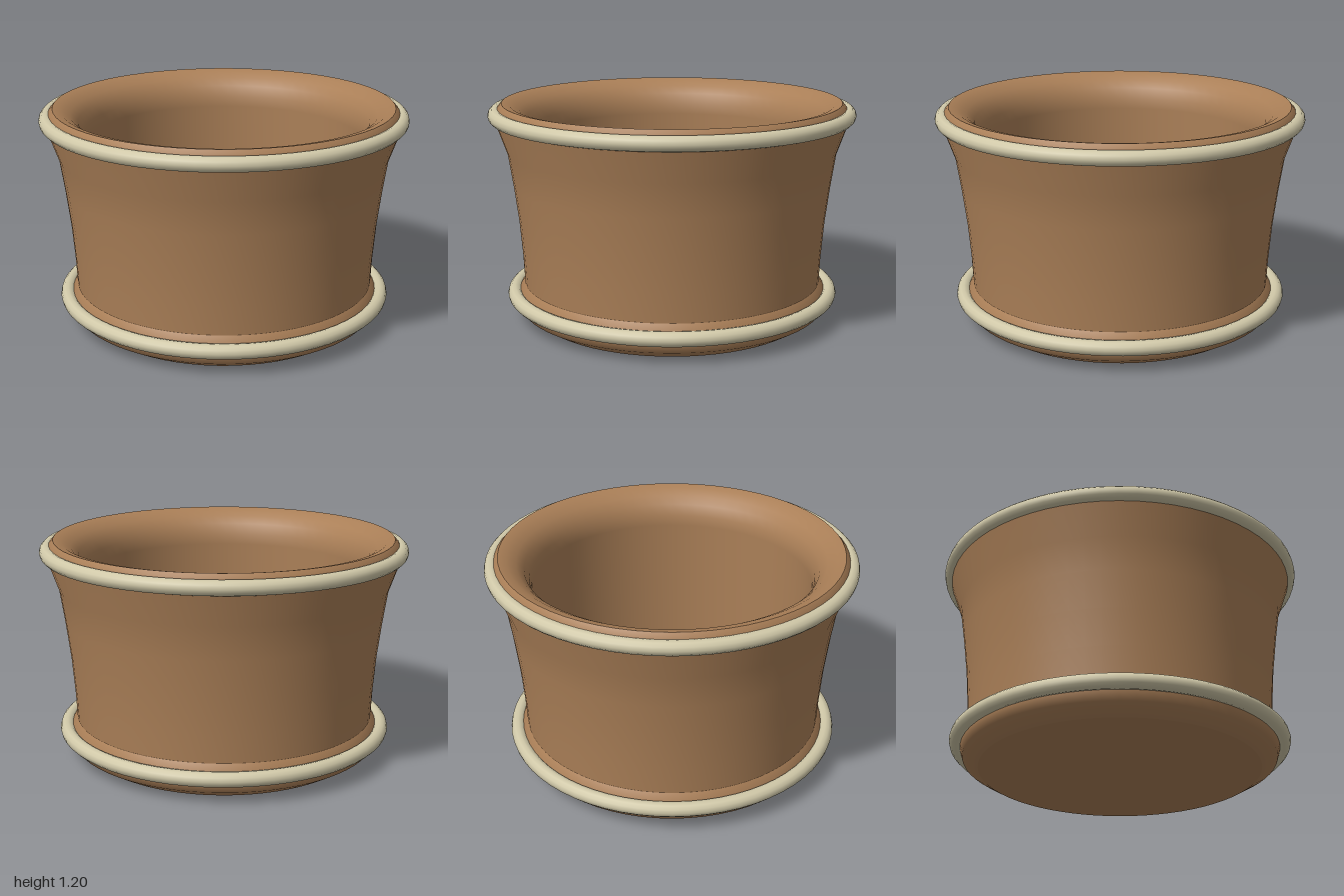
import * as THREE from 'three';

const SEGMENTS = 64;

export function createModel() {
  const model = new THREE.Group();
  model.name = 'flaredPot';

  const clay = new THREE.MeshStandardMaterial({ color: 0xaa7f57 });
  clay.name = 'brown clay';
  const cream = new THREE.MeshStandardMaterial({ color: 0xd0c8a8 });
  cream.name = 'cream trim';

  const add = (name, geometry, material, y = 0) => {
    const mesh = new THREE.Mesh(geometry, material);
    mesh.name = name;
    mesh.position.y = y;
    model.add(mesh);
  };
  const lathe = (profile) =>
    new THREE.LatheGeometry(profile.map(([r, y]) => new THREE.Vector2(r, y)), SEGMENTS);

  // Profiles are separate so the edges between them stay sharp
  add('underside', lathe([[0, 0], [0.76, 0]]), clay);
  add('foot', lathe([[0.76, 0], [0.845, 0.05], [0.86, 0.1], [0.86, 0.15], [0.825, 0.2]]), clay);
  add('outerWall', lathe([
    [0.825, 0.2], [0.832, 0.35], [0.848, 0.55], [0.873, 0.75],
    [0.9, 0.93], [0.96, 1.1], [0.96, 1.16], [0.925, 1.2],
  ]), clay);
  add('lipAndInnerWall', lathe([
    [0.925, 1.2], [0.88, 1.19], [0.83, 1.16], [0.79, 1.12],
    [0.765, 1.06], [0.76, 1.0], [0.76, 0.01],
  ]), clay);
  add('innerFloor', lathe([[0.76, 0.01], [0, 0.01]]), clay);

  // Rounded trim rings around the rim and foot
  for (const [name, radius, y] of [['rimRing', 0.96, 1.137], ['footRing', 0.88, 0.137]]) {
    const ring = new THREE.TorusGeometry(radius, 0.04, 12, SEGMENTS);
    ring.rotateX(Math.PI / 2);
    add(name, ring, cream, y);
  }

  return model;
}
